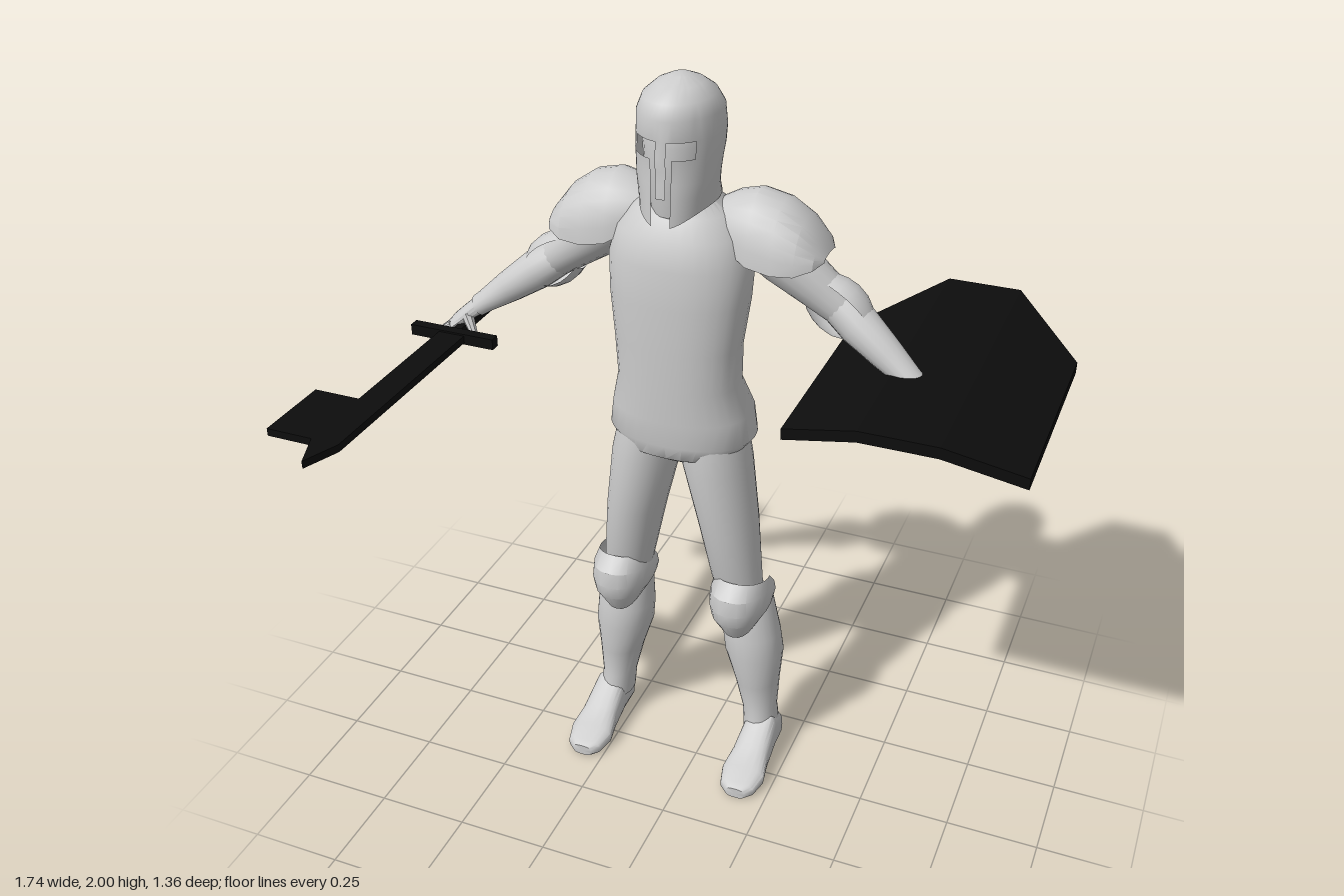
import * as THREE from 'three';
import { toCreasedNormals } from 'three/addons/utils/BufferGeometryUtils.js';

const armour = new THREE.MeshStandardMaterial({ color: 0xcccccc, side: THREE.DoubleSide });
armour.name = 'steel grey';
const dark = new THREE.MeshStandardMaterial({ color: 0x0d0d0d });
dark.name = 'black iron';

// Grid surface: point(i, j) over rows and columns; keep() may leave out cells
function skin(rows, cols, point, crease = 0.75, keep = () => true) {
  const pos = [], index = [], w = cols + 1;
  for (let i = 0; i <= rows; i++) for (let j = 0; j <= cols; j++) pos.push(...point(i, j));
  for (let i = 0; i < rows; i++) for (let j = 0; j < cols; j++) {
    if (!keep(i, j)) continue;
    const a = i * w + j, b = a + 1, c = a + w + 1, d = a + w;
    index.push(a, b, c, a, c, d);
  }
  const g = new THREE.BufferGeometry();
  g.setAttribute('position', new THREE.Float32BufferAttribute(pos, 3));
  g.setIndex(index);
  return toCreasedNormals(g, crease);
}

const pw = (v, p) => Math.sign(v) * Math.abs(v) ** p;

// Closed body of upright rings [y, centre x, centre z, radius x, radius z]
function loft(rings, seg = 24, p = 1) {
  const first = rings[0], last = rings[rings.length - 1];
  const all = [[...first.slice(0, 3), 0, 0], ...rings, [...last.slice(0, 3), 0, 0]];
  return skin(all.length - 1, seg, (i, j) => {
    const [y, cx, cz, rx, rz] = all[i], t = j / seg * Math.PI * 2;
    return [cx + rx * pw(Math.sin(t), p), y, cz + rz * pw(Math.cos(t), p)];
  });
}

function add(parent, name, geometry, material = armour) {
  const m = new THREE.Mesh(geometry, material);
  m.name = name;
  parent.add(m);
  return m;
}

// Tapered limb from a to b; sections are [fraction, radius x, radius z]
function limb(parent, name, a, b, sections, seg = 16) {
  const A = new THREE.Vector3(...a), d = new THREE.Vector3(...b).sub(A), len = d.length();
  const m = add(parent, name, loft(sections.map(([t, rx, rz = rx]) => [t * len, 0, 0, rx, rz]), seg));
  m.position.copy(A);
  m.quaternion.setFromUnitVectors(new THREE.Vector3(0, 1, 0), d.normalize());
  return m;
}

function addHelmet(body) {
  // rows: [y, half width, front z, back z]
  const rows = [[1.70, .092, .056, -.215], [1.735, .094, .052, -.19], [1.77, .098, .05, -.185],
    [1.80, .1, .048, -.195], [1.83, .103, .05, -.21], [1.87, .104, .043, -.217], [1.92, .1, .048, -.213],
    [1.955, .085, .032, -.185], [1.98, .056, -.01, -.145], [1.994, .025, -.05, -.11], [2, 0, -.08, -.08]];
  const n = 48;
  const geo = skin(rows.length - 1, n, (i, j) => {
    const [y, rx, zf, zb] = rows[i], t = (j / n * 2 - 1) * Math.PI, c = Math.cos(t);
    const drop = i ? 0 : .037 * Math.max(0, c) ** 3;
    return [rx * Math.sin(t), y - drop, (zf + zb) / 2 + c * (zf - zb) / 2];
  }, 0.75, (i, j) => {
    const k = j < n / 2 ? n / 2 - 1 - j : j - n / 2;   // cells away from the nose line
    const eye = i === 4 && k >= 1 && k <= 5;
    const slit = i < 4 && k === 1;
    const mouth = i < 1 && k === 0;
    return !(eye || slit || mouth);
  });
  add(body, 'helmet', geo);
  add(body, 'head', loft([[1.67, 0, -.08, .07, .085], [1.75, 0, -.08, .083, .1], [1.85, 0, -.083, .09, .108],
    [1.92, 0, -.083, .08, .1], [1.96, 0, -.083, .05, .06]]));
}

function addLeg(body, s) {
  const leg = new THREE.Group();
  leg.name = s > 0 ? 'leftLeg' : 'rightLeg';
  body.add(leg);
  add(leg, 'thigh', loft([[.48, s * .178, -.11, .055, .055], [.62, s * .16, -.078, .07, .066],
    [.8, s * .133, -.078, .081, .093], [.98, s * .1, -.08, .092, .11], [1.06, s * .09, -.085, .085, .11]]));
  add(leg, 'greave', loft([[.08, s * .23, -.115, .05, .066], [.15, s * .222, -.12, .049, .056],
    [.25, s * .212, -.122, .063, .072], [.35, s * .2, -.122, .083, .083], [.42, s * .192, -.118, .083, .077],
    [.545, s * .18, -.118, .068, .06]]));
  // foot: sections along z [z, half width, height]
  const f = [[-.186, 0, .05], [-.186, .03, .06], [-.16, .042, .1], [-.09, .047, .14], [0, .053, .085],
    [.06, .063, .056], [.11, .05, .042], [.128, .028, .032], [.128, 0, .03]];
  add(leg, 'foot', skin(f.length - 1, 20, (i, j) => {
    const [z, w, h] = f[i], t = j / 20 * Math.PI * 2, k = w ? 1 : 0;
    return [s * .238 + w * pw(Math.cos(t), .75), h / 2 + k * h / 2 * pw(Math.sin(t), .6), z];
  }));
  // knee guard: shell open at the back, rows [y, half width, front z]
  const k = [[.458, .052, -.005], [.52, .08, .034], [.56, .085, .042], [.605, .081, .036], [.645, .07, 0]];
  add(leg, 'kneeGuard', skin(4, 14, (i, j) => {
    const [y, w, zf] = k[i], t = (j / 14 * 2 - 1) * 1.9, c = Math.cos(t), m = .68 + .32 * c;
    return [s * .175 + w * pw(Math.sin(t), .85), .575 + (y - .575) * m, -.085 + c * (zf + .085)];
  }, 0.5));
}

function addArm(body, s) {
  const arm = new THREE.Group();
  arm.name = s > 0 ? 'leftArm' : 'rightArm';
  body.add(arm);
  const elbow = [s * .385, 1.437, -.165], wrist = [s * .605, 1.28, -.115];
  limb(arm, 'upperArm', [s * .15, 1.625, -.135], elbow, [[0, .07, .08], [.4, .07, .072], [.75, .058], [1, .05]]);
  limb(arm, 'forearm', elbow, wrist, [[0, .05], [.25, .053], [.6, .043], [.9, .03, .034], [1, .027, .034]]);
  // shoulder plate: arched ribs [x, top, rim, half depth]
  const ribs = [[.09, 1.69, 1.63, .07], [.13, 1.712, 1.595, .095], [.185, 1.725, 1.565, .113], [.25, 1.71, 1.555, .118],
    [.305, 1.672, 1.558, .112], [.345, 1.62, 1.57, .085], [.362, 1.588, 1.578, .045]];
  add(arm, 'shoulderPlate', skin(ribs.length - 1, 14, (i, j) => {
    const [x, top, rim, d] = ribs[i], t = j / 14 * Math.PI;
    return [s * x, rim + (top - rim) * pw(Math.sin(t), .9), -.132 + d * Math.cos(t)];
  }, 0.5));
  // elbow guard: cup around the back of the elbow
  const cup = [[-.06, .06], [-.03, .071], [0, .075], [.035, .07], [.065, .055]];
  const guard = add(arm, 'elbowGuard', skin(4, 16, (i, j) => {
    const t = Math.PI + (j / 16 * 2 - 1) * 2.3;
    return [cup[i][1] * .95 * Math.sin(t), cup[i][0], .008 + cup[i][1] * .93 * Math.cos(t)];
  }));
  guard.position.set(...elbow);
  guard.rotation.z = -s * 2.2;
  // hand
  limb(arm, 'palm', wrist, [s * .685, 1.218, -.108],
    [[-.1, .024, .03], [.3, .021, .037], [.8, .016, .045], [1, .012, .042]]);
  const reach = [.74, .757, .752, .735];
  reach.forEach((x, i) => limb(arm, 'finger', [s * .672, 1.228, -.139 + i * .021],
    [s * x, 1.228 - (x - .672) * .8, -.152 + i * .029], [[0, .0105], [.5, .01], [.9, .0075], [1, .004]], 8));
  limb(arm, 'thumb', [s * .628, 1.258, -.09], [s * .586, 1.192, -.06], [[0, .017], [.5, .012], [.9, .009], [1, .005]], 8);
}

function createSword() {
  const sword = new THREE.Group();
  sword.name = 'sword';
  // flat blade with a square side flange, drawn in x and z
  const outline = [[-.745, -.03], [-.67, -.03], [-.67, .58], [-.7075, .675], [-.745, .58], [-.87, .58], [-.87, .375], [-.745, .375]];
  const blade = new THREE.ExtrudeGeometry(new THREE.Shape(outline.map(p => new THREE.Vector2(...p))),
    { depth: .02, bevelEnabled: false });
  blade.rotateX(Math.PI / 2);
  add(sword, 'blade', blade, dark).position.y = 1.234;
  const block = (name, w, h, d, z) => add(sword, name, new THREE.BoxGeometry(w, h, d), dark).position.set(-.7075, 1.224, z);
  block('crossGuard', .245, .03, .028, -.03);
  block('grip', .022, .022, .29, -.175);
  block('pommel', .042, .036, .042, -.33);
  return sword;
}

function createShield() {
  // folded plate: columns [x, top y, back z, front z]
  const c = [[.272, 1.243, -.455, .14], [.472, 1.31, -.685, .193], [.667, 1.31, -.685, .193], [.867, 1.243, -.455, .14]];
  const rows = [c[0], ...c, c[3]], t = .03;
  const geo = skin(5, 4, (i, j) => {
    const [x, y, z0, z1] = rows[i];
    if (i === 0 || i === 5) return [x, y - t / 2, (z0 + z1) / 2];
    return [[x, y, z0], [x, y, z1], [x, y - t, z1], [x, y - t, z0]][j % 4];
  }, 0.1);
  const m = new THREE.Mesh(geo, dark);
  m.name = 'shield';
  return m;
}

export function createModel() {
  const model = new THREE.Group();
  model.name = 'knight';
  const body = new THREE.Group();
  body.name = 'body';
  body.position.x = -.07;
  model.add(body);

  add(body, 'torso', loft([[.975, 0, -.09, .04, .06], [1.02, 0, -.085, .165, .12], [1.06, 0, -.091, .197, .135],
    [1.13, 0, -.09, .187, .137], [1.22, 0, -.066, .162, .116], [1.33, 0, -.06, .166, .112], [1.45, 0, -.073, .18, .125],
    [1.55, 0, -.085, .184, .133], [1.62, 0, -.095, .165, .128], [1.67, 0, -.1, .125, .1], [1.7, 0, -.1, .08, .075],
    [1.78, 0, -.09, .06, .065]], 32, .88));
  addHelmet(body);
  for (const s of [1, -1]) {
    addLeg(body, s);
    addArm(body, s);
  }
  model.add(createSword(), createShield());
  return model;
}
